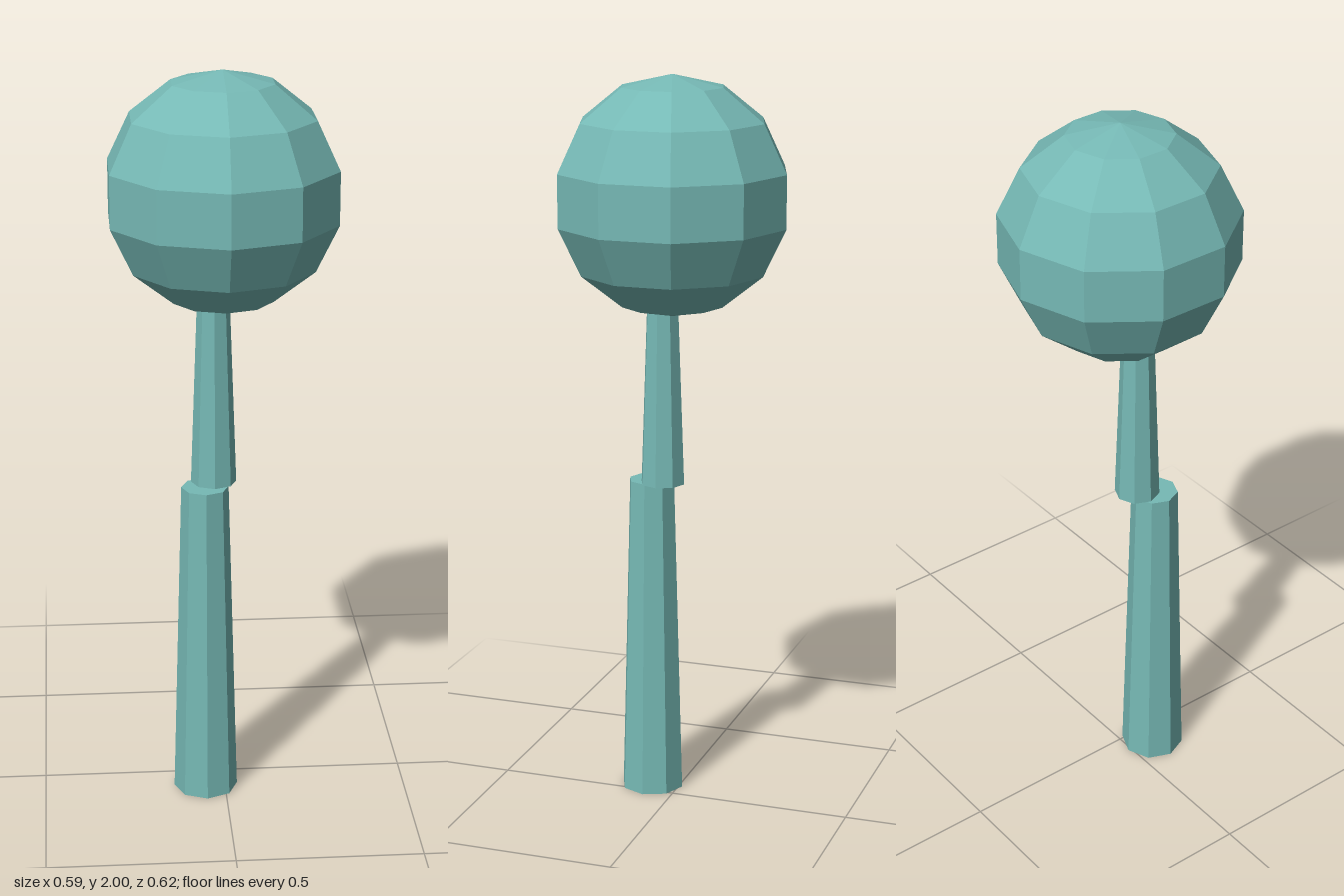
import * as THREE from 'three';

export function createModel() {
  const group = new THREE.Group();
  const material = new THREE.MeshStandardMaterial({ color: 0x76b9b5, flatShading: true });

  const add = (name, geometry, x, y, z) => {
    const mesh = new THREE.Mesh(geometry, material);
    mesh.name = name;
    mesh.position.set(x, y, z);
    group.add(mesh);
    return mesh;
  };

  // Tapered eight-sided trunk section standing between two heights
  const addTrunk = (name, rTop, rBottom, y0, y1, x, z) =>
    add(name, new THREE.CylinderGeometry(rTop, rBottom, y1 - y0, 8), x, (y0 + y1) / 2, z);

  addTrunk('lowerTrunk', 0.0635, 0.0875, 0, 0.895, -0.053, 0.077);
  // Offset upper section, its top sunk into the crown
  addTrunk('upperTrunk', 0.0415, 0.061, 0.895, 1.45, -0.027, 0.037);

  // Faceted round crown, corners turned to front and back
  const crown = add('crown', new THREE.SphereGeometry(0.318, 10, 7), 0, 1.682, 0);
  crown.rotation.y = Math.PI / 2;

  return group;
}
